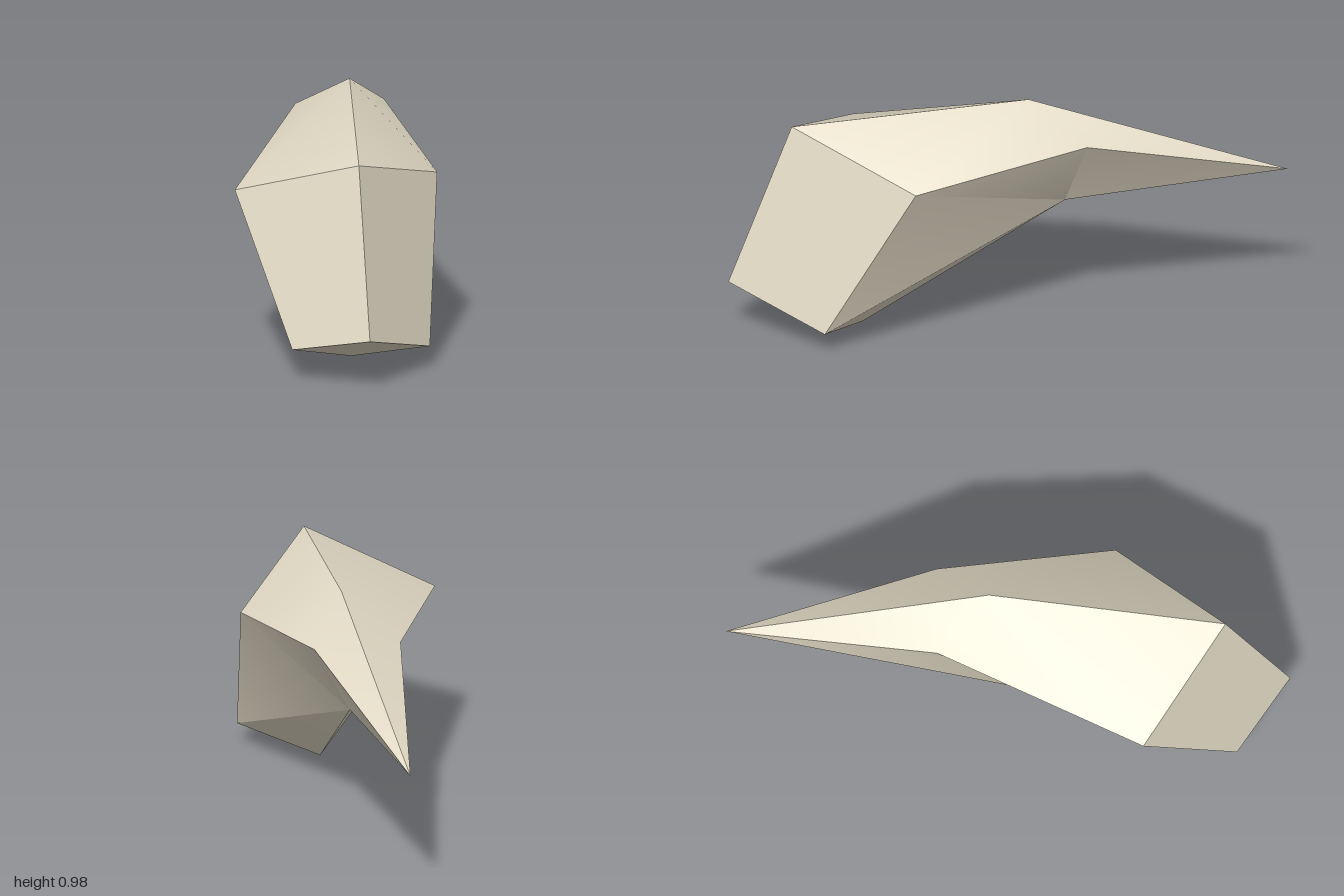
import * as THREE from 'three';
import { toCreasedNormals } from 'three/addons/utils/BufferGeometryUtils.js';

// Faceted claw: points on the middle ridge, then the matching points of each flank.
const spine = {
  tip: [-0.6, 0.58, -1],
  crest: [-0.035, 0.98, -0.09],
  brow: [0.385, 0.89, 0.78],
  toe: [0.53, 0.22, 1],
  heel: [0.24, 0, 0.525],
};
const rightFlank = {
  frontEdge: [-0.185, 0.71, 0.735],
  rearEdge: [-0.31, 0.82, -0.17],
  under: [-0.11, 0.52, 0.3],
  foot: [0.17, 0.135, 0.965],
};
const leftFlank = {
  frontEdge: [0.48, 0.72, 0.2],
  rearEdge: [0, 0.825, -0.36],
  under: [-0.11, 0.52, -0.22],
  foot: [0.6, 0.09, 0.55],
};

// Triangles of one half; the other half uses the same list in reverse order.
const halfFaces = [
  // front
  ['foot', 'toe', 'brow'], ['foot', 'brow', 'frontEdge'],
  // top
  ['frontEdge', 'brow', 'crest'], ['frontEdge', 'crest', 'rearEdge'],
  // point
  ['rearEdge', 'crest', 'tip'],
  // flank
  ['rearEdge', 'tip', 'under'], ['frontEdge', 'rearEdge', 'under'],
  ['frontEdge', 'under', 'foot'], ['foot', 'under', 'heel'],
  // base
  ['foot', 'heel', 'toe'],
];

function halfPositions(flank, reversed) {
  const points = { ...spine, ...flank };
  return halfFaces.flatMap((face) => {
    const order = reversed ? [...face].reverse() : face;
    return order.flatMap((name) => points[name]);
  });
}

function clawGeometry() {
  const right = rightFlank.under;
  const left = leftFlank.under;
  // hollow belly between the two lower edges
  const belly = [left, right, spine.tip, right, left, spine.heel].flat();
  const positions = [
    ...halfPositions(rightFlank, false),
    ...halfPositions(leftFlank, true),
    ...belly,
  ];
  const geometry = new THREE.BufferGeometry();
  geometry.setAttribute('position', new THREE.Float32BufferAttribute(positions, 3));
  return toCreasedNormals(geometry, THREE.MathUtils.degToRad(30));
}

export function createModel() {
  const bone = new THREE.MeshStandardMaterial({ color: 0xe2dac5 });
  bone.name = 'bone';

  const claw = new THREE.Mesh(clawGeometry(), bone);
  claw.name = 'claw';

  const model = new THREE.Group();
  model.name = 'clawModel';
  model.add(claw);
  return model;
}
